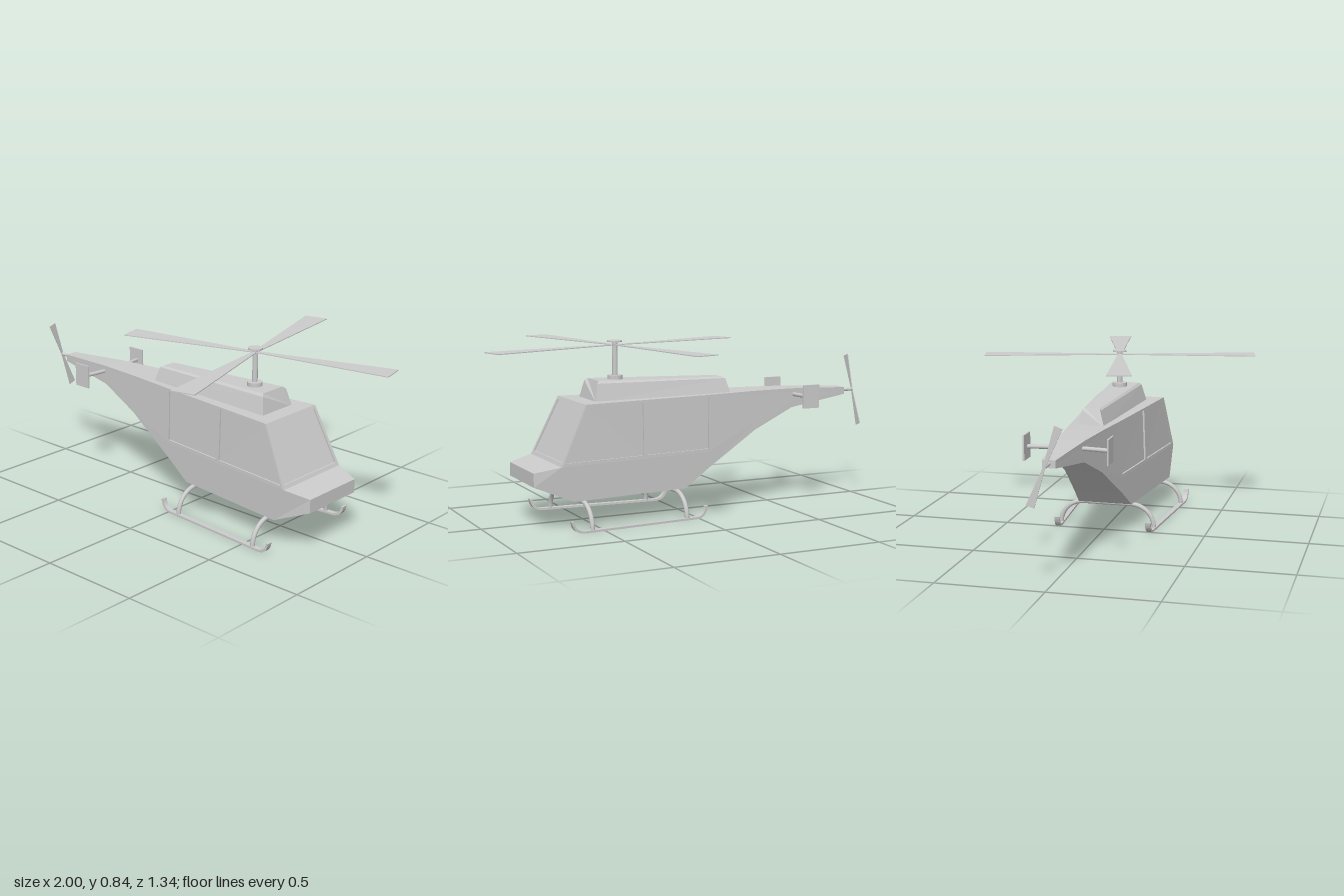
import * as THREE from 'three';

const material = new THREE.MeshStandardMaterial({ color: 0xcccccc });
const flat = new THREE.MeshStandardMaterial({ color: 0xcccccc, flatShading: true });
const double = new THREE.MeshStandardMaterial({ color: 0xcccccc, flatShading: true, side: THREE.DoubleSide });
const INSET = 0.008; // how far the window panes sit behind the skin

// Half-width of the tapering fuselage: upright below the waist, leaning in above it
function halfWidth(x, y) {
  const t = THREE.MathUtils.clamp((y - 0.295) / 0.275, 0, 1);
  return 0.03 + (x + 0.93) * (0.1087 - 0.0087 * t);
}

// Faceted skin over rows of points, optionally closed at both ends
function skin(rows, caps = false) {
  const pos = [];
  const tri = (...p) => p.forEach((q) => pos.push(...q));
  const fan = (p) => { for (let i = 1; i < p.length - 1; i++) tri(p[0], p[i], p[i + 1]); };
  for (let i = 0; i < rows.length - 1; i++) {
    for (let j = 0; j < rows[i].length - 1; j++) {
      fan([rows[i][j], rows[i + 1][j], rows[i + 1][j + 1], rows[i][j + 1]]);
    }
  }
  if (caps) {
    fan(rows[0]);
    fan([...rows[rows.length - 1]].reverse());
  }
  const geo = new THREE.BufferGeometry();
  geo.setAttribute('position', new THREE.Float32BufferAttribute(pos, 3));
  geo.computeVertexNormals();
  return geo;
}

const toShape = (pts) => new THREE.Shape(pts.map(([a, b]) => new THREE.Vector2(a, b)));

// Bends a flat geometry onto a surface by a placing rule
function mapped(geo, place) {
  const g = geo.index ? geo.toNonIndexed() : geo;
  const p = g.attributes.position;
  for (let i = 0; i < p.count; i++) p.setXYZ(i, ...place(p.getX(i), p.getY(i), p.getZ(i)));
  g.computeVertexNormals();
  return g;
}

// Mirrors a geometry across the centre plane and restores its winding
function mirrored(geo) {
  const g = geo.index ? geo.toNonIndexed() : geo.clone();
  const p = g.attributes.position;
  for (let i = 0; i < p.count; i += 3) {
    const [a, b, c] = [0, 2, 1].map((k) => [p.getX(i + k), p.getY(i + k), -p.getZ(i + k)]);
    [a, b, c].forEach((v, k) => p.setXYZ(i + k, ...v));
  }
  g.computeVertexNormals();
  return g;
}

// Tapered blade lying in XY and pointing along +x
function bladeGeometry(length, root, tip, thick) {
  const s = toShape([[0, -root / 2], [length, -tip / 2], [length, tip / 2], [0, root / 2]]);
  return new THREE.ExtrudeGeometry(s, { depth: thick, bevelEnabled: false }).translate(0, 0, -thick / 2);
}

export function createModel() {
  const model = new THREE.Group();
  model.name = 'helicopter';
  const add = (name, geo, mat = flat, parent = model) => {
    const mesh = new THREE.Mesh(geo, mat);
    mesh.name = name;
    parent.add(mesh);
    return mesh;
  };
  const both = (name, geo, mat = flat) => {
    add(name + 'Left', geo, mat);
    add(name + 'Right', mirrored(geo), mat);
  };

  // Fuselage lines from tail to windshield, as [x, y]
  const bottom = [[-0.93, 0.52], [-0.6, 0.475], [-0.38, 0.38], [-0.1, 0.21], [0.02, 0.13], [0.62, 0.13]];
  const waist = [[-0.93, 0.535], [-0.6, 0.505], [-0.38, 0.42], [-0.1, 0.295], [0.02, 0.295], [0.68, 0.295]];
  const top = [[-0.93, 0.555], [-0.6, 0.57], [-0.38, 0.572], [-0.1, 0.57], [0.02, 0.57], [0.55, 0.57]];
  const at = ([x, y], s) => [x, y, s * halfWidth(x, y)];

  // Belly, lower sides and nose
  const lower = bottom.map((b, i) => [at(waist[i], -1), at(b, -1), at(b, 1), at(waist[i], 1)]);
  const noseEnd = [[0.8, 0.27, -0.165], [0.8, 0.205, -0.165], [0.8, 0.205, 0.165], [0.8, 0.27, 0.165]];
  add('lowerHull', skin([...lower, noseEnd], true));
  add('noseTop', skin([[at(waist[5], 1), at(waist[5], -1)], [noseEnd[3], noseEnd[0]]]));
  add('roof', skin(top.map((t) => [at(t, 1), at(t, -1)])));
  add('tailEnd', skin([[at(waist[0], -1), at(waist[0], 1)], [at(top[0], -1), at(top[0], 1)]]), double);

  // Upper sides with sunken door windows
  const windows = [
    [[-0.11, 0.31], [0.23, 0.31], [0.23, 0.56], [-0.11, 0.56]],
    [[0.25, 0.31], [0.658, 0.31], [0.542, 0.56], [0.25, 0.56]],
  ];
  const onSide = (x, y, d) => [x, y, halfWidth(x, y) + d - INSET];
  const sideShape = toShape([...waist, ...[...top].reverse()]);
  sideShape.holes = windows.map(toShape);
  const wall = { depth: INSET, bevelEnabled: false };
  both('upperSide', mapped(new THREE.ExtrudeGeometry(sideShape, wall), onSide));
  windows.forEach((w, i) => both(['rearWindow', 'frontWindow'][i],
    mapped(new THREE.ShapeGeometry(toShape(w)), onSide), double));

  // Sloping windshield in its frame
  const onFront = (a, y, d) => [0.68 - 0.13 * (y - 0.295) / 0.275 + d - INSET, y, -a];
  const [lowW, highW] = [at(waist[5], 1)[2], at(top[5], 1)[2]];
  const pane = [[-lowW + 0.018, 0.312], [lowW - 0.018, 0.312], [highW - 0.014, 0.556], [-highW + 0.014, 0.556]];
  const frame = toShape([[-lowW, 0.295], [lowW, 0.295], [highW, 0.57], [-highW, 0.57]]);
  frame.holes = [toShape(pane)];
  add('windshieldFrame', mapped(new THREE.ExtrudeGeometry(frame, wall), onFront));
  add('windshield', mapped(new THREE.ShapeGeometry(toShape(pane)), onFront), double);

  // Engine housing on the roof
  const arch = (pts) => [...pts.map(([x, y, z]) => [x, y, z]), ...[...pts].reverse().map(([x, y, z]) => [x, y, -z])];
  add('engineHousing', skin([
    arch([[-0.255, 0.565, 0.065], [-0.235, 0.638, 0.045], [-0.22, 0.646, 0.036]]),
    arch([[0.47, 0.565, 0.105], [0.452, 0.65, 0.082], [0.44, 0.661, 0.07]]),
  ], true));

  // Mast and main rotor
  const rotor = new THREE.Group();
  rotor.name = 'mainRotor';
  rotor.position.set(0.33, 0, -0.003);
  model.add(rotor);
  const disc = (name, r, y0, y1) =>
    add(name, new THREE.CylinderGeometry(r, r, y1 - y0, 16).translate(0, (y0 + y1) / 2, 0), flat, rotor);
  disc('mastBase', 0.036, 0.655, 0.678);
  disc('mast', 0.013, 0.66, 0.84);
  disc('mastCap', 0.035, 0.834, 0.841);
  for (let i = 0; i < 4; i++) {
    const blade = bladeGeometry(0.675, 0.018, 0.118, 0.004);
    blade.rotateX(-Math.PI / 2).rotateY(THREE.MathUtils.degToRad(13.4 + i * 90)).translate(0, 0.82, 0);
    add('rotorBlade', blade, flat, rotor);
  }

  // Tail rotor
  add('tailRotorShaft', new THREE.CylinderGeometry(0.008, 0.008, 0.08, 12).rotateZ(Math.PI / 2).translate(-0.958, 0.538, 0));
  for (const deg of [110, 290]) {
    const blade = bladeGeometry(0.183, 0.01, 0.038, 0.004);
    blade.rotateY(Math.PI / 2).rotateX(THREE.MathUtils.degToRad(deg)).translate(-0.997, 0.538, 0);
    add('tailRotorBlade', blade);
  }

  // Stabiliser bar with upright end plates
  const bar = new THREE.CatmullRomCurve3([-0.19, -0.1, 0, 0.1, 0.19].map(
    (z) => new THREE.Vector3(-0.612 - 0.5 * z * z, 0.54, z)));
  add('stabiliserBar', new THREE.TubeGeometry(bar, 16, 0.01, 8), material);
  both('stabiliserPlate', new THREE.BoxGeometry(0.09, 0.115, 0.008).translate(-0.635, 0.542, 0.191));

  // Landing skids: flat strips with upturned ends, splayed toward the front
  const skidZ = (x) => 0.228 + 0.075 * (x + 0.04);
  const strip = new THREE.Shape();
  strip.moveTo(-0.045, 0.058);
  strip.quadraticCurveTo(-0.035, 0, 0.02, 0);
  strip.lineTo(0.6, 0);
  strip.quadraticCurveTo(0.66, 0, 0.668, 0.058);
  strip.lineTo(0.656, 0.058);
  strip.quadraticCurveTo(0.648, 0.01, 0.6, 0.01);
  strip.lineTo(0.02, 0.01);
  strip.quadraticCurveTo(-0.025, 0.01, -0.033, 0.058);
  const skid = new THREE.ExtrudeGeometry(strip, { depth: 0.026, bevelEnabled: false, curveSegments: 8 });
  both('skid', mapped(skid, (x, y, d) => [x, y, skidZ(x) + d - 0.013]));

  // Arched struts under the belly
  for (const x of [0.065, 0.56]) {
    const z = skidZ(x);
    const v = (y, w) => new THREE.Vector3(x, y, w);
    const path = new THREE.CurvePath();
    path.add(new THREE.CubicBezierCurve3(v(0.005, -z), v(0.07, -z), v(0.12, -z + 0.05), v(0.12, -z + 0.12)));
    path.add(new THREE.LineCurve3(v(0.12, -z + 0.12), v(0.12, z - 0.12)));
    path.add(new THREE.CubicBezierCurve3(v(0.12, z - 0.12), v(0.12, z - 0.05), v(0.07, z), v(0.005, z)));
    add('skidStrut', new THREE.TubeGeometry(path, 40, 0.011, 10), material);
  }

  return model;
}
